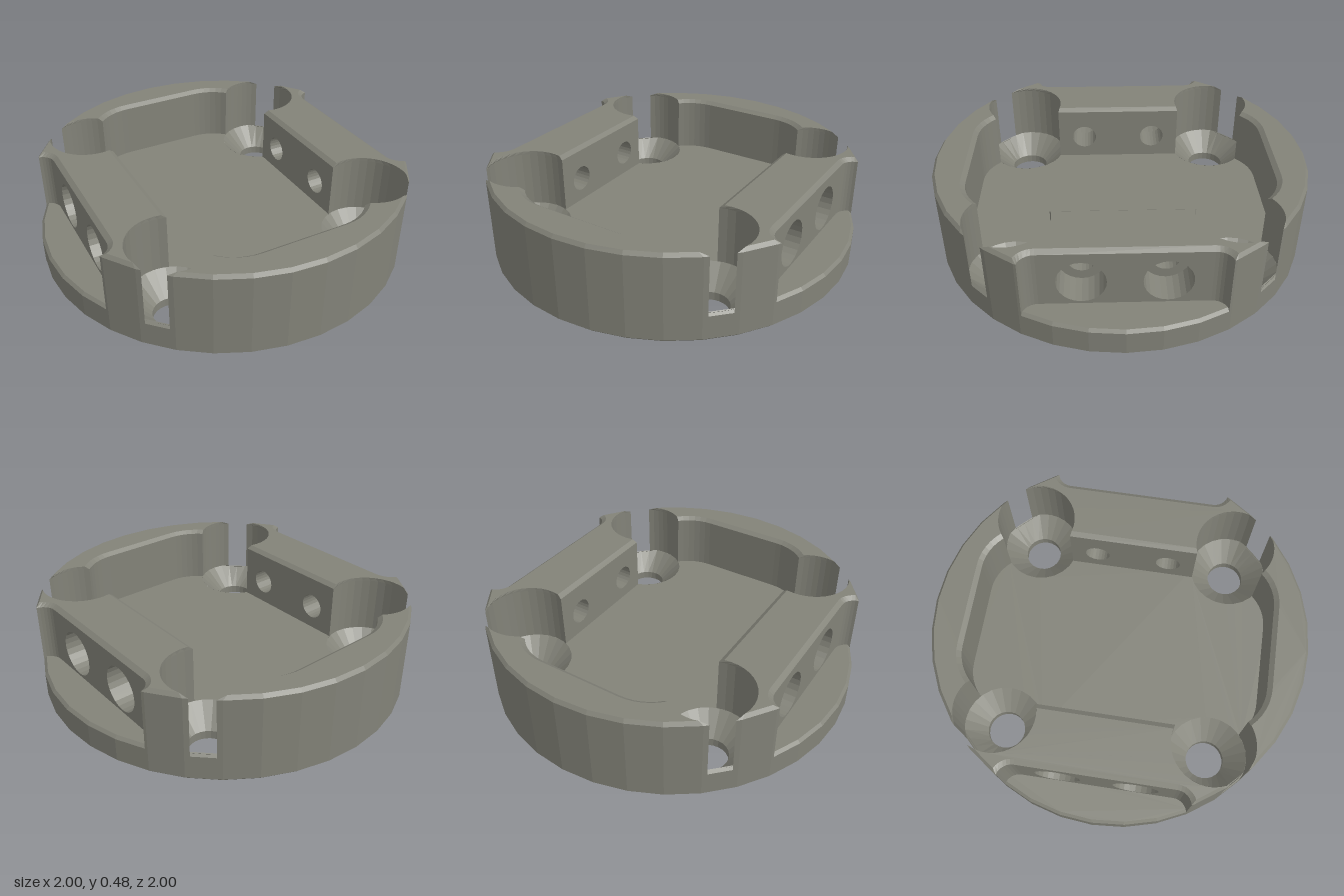
import * as THREE from 'three';

const mat = new THREE.MeshStandardMaterial({ color: 0x828278, flatShading: true, side: THREE.DoubleSide });
const FLOOR = 0.155, TOP = 0.476, START = 0.14;
const CH = 0.025, CH_Y = 0.018; // chamfer width and height
const BORE = [0.56, 0.56], BORE_R = 0.215, HOLE_R = 0.103, SCREW_Y = 0.287;
const O = [0, 0], DEG = Math.PI / 180;

// One of the two points where two circles meet.
function meet(c1, r1, c2, r2, sign) {
  const dx = c2[0] - c1[0], dz = c2[1] - c1[1], d = Math.hypot(dx, dz);
  const a = (d * d + r1 * r1 - r2 * r2) / (2 * d);
  const h = sign * Math.sqrt(r1 * r1 - a * a);
  return [c1[0] + (a * dx - h * dz) / d, c1[1] + (a * dz + h * dx) / d];
}

// Points on a circle from p to q, the short way round (or the long way).
function arc(c, r, p, q, n, long = false) {
  const a0 = Math.atan2(p[1] - c[1], p[0] - c[0]);
  let da = Math.atan2(q[1] - c[1], q[0] - c[0]) - a0;
  if (da > Math.PI) da -= 2 * Math.PI;
  if (da < -Math.PI) da += 2 * Math.PI;
  if (long) da -= Math.sign(da) * 2 * Math.PI;
  return Array.from({ length: n + 1 }, (_, i) => {
    const a = a0 + (da * i) / n;
    return [c[0] + r * Math.cos(a), c[1] + r * Math.sin(a)];
  });
}

// Part of the 36-sided rim from p to q, with its corners at from..to degrees between them.
function rimArc(R, p, q, from, to) {
  const a0 = Math.atan2(p[1], p[0]) / DEG, a1 = Math.atan2(q[1], q[0]) / DEG;
  const angles = [a0];
  for (let a = from; a <= to; a += 10) angles.push(Math.min(Math.max(a, a0), a1));
  angles.push(a1);
  return angles.map((a) => {
    const r = R * Math.cos(5 * DEG) / Math.cos(((a % 10) - 5) * DEG);
    return [r * Math.cos(a * DEG), r * Math.sin(a * DEG)];
  });
}

// Stack (x, z) outlines at given heights, cap the top; skip lists open side faces of the first layer.
function loft(layers, skip = []) {
  const pos = [];
  const n = layers[0].pts.length;
  const v = (l, i) => pos.push(layers[l].pts[i % n][0], layers[l].y, layers[l].pts[i % n][1]);
  for (let l = 0; l < layers.length - 1; l++) {
    for (let i = 0; i < n; i++) {
      if (l === 0 && skip.includes(i)) continue;
      v(l, i); v(l + 1, i); v(l, i + 1);
      v(l, i + 1); v(l + 1, i); v(l + 1, i + 1);
    }
  }
  const last = layers.length - 1;
  const flat = layers[last].pts.map((p) => new THREE.Vector2(...p));
  for (const [a, b, c] of THREE.ShapeUtils.triangulateShape(flat, [])) {
    v(last, a); v(last, c); v(last, b);
  }
  const g = new THREE.BufferGeometry();
  g.setAttribute('position', new THREE.Float32BufferAttribute(pos, 3));
  g.computeVertexNormals();
  return g;
}

// Curved end wall: pocket side, bore bite, outer rim; c is the chamfer inset.
function endWall(c) {
  const corner = [0.23, 0.545], r = 0.258 + c, R = 1 - 0.6 * c;
  const m = meet(corner, r, BORE, BORE_R, 1);
  const p = meet(O, R, BORE, BORE_R, 1);
  const half = [
    ...arc(corner, r, [0.23, 0.545 + r], m, 6),
    ...arc(BORE, BORE_R, m, p, 8).slice(1, -1),
    ...rimArc(R, p, [0, R], 50, 80),
  ];
  const mirrored = half.slice(0, -1).reverse().map(([x, z]) => [-x, z]);
  return [...half, ...mirrored];
}

// Side bar: recess face, rounded recess corner, outer rim, bore bite, pocket face.
function sideBar(c) {
  const fillet = [0.89, 0.41], r = 0.08 + c, R = 1 - 0.6 * c, inner = 0.488 + c;
  const e = meet(fillet, r, O, R, -1);
  const p = meet(O, R, BORE, BORE_R, -1);
  const q = [inner, BORE[1] - Math.sqrt(BORE_R ** 2 - (BORE[0] - inner) ** 2)];
  const half = [
    ...arc(fillet, r, [0.89 - r, 0.41], e, 6).slice(0, -1),
    ...rimArc(R, e, p, 30, 40),
    ...arc(BORE, BORE_R, p, q, 12).slice(1),
  ];
  return [...half.map(([x, z]) => [x, -z]).reverse(), ...half];
}

const wallLayers = (outline) => [
  { y: START, pts: outline(0) },
  { y: TOP - CH_Y, pts: outline(0) },
  { y: TOP, pts: outline(CH) },
];

function add(parent, name, geometry) {
  const m = new THREE.Mesh(geometry, mat);
  m.name = name;
  parent.add(m);
  return m;
}

// Regular polygon points, used for round outlines and holes.
const ring = (x, y, r, n) => Array.from({ length: n }, (_, i) => {
  const a = (i / n) * 2 * Math.PI;
  return new THREE.Vector2(x + r * Math.cos(a), y + r * Math.sin(a));
});

const lathe = (pts, n) => new THREE.LatheGeometry(pts.map((p) => new THREE.Vector2(...p)), n);

// Upright bar face at x with two round screw holes.
function drilledFace(x, halfZ, r) {
  const s = new THREE.Shape([[-halfZ, START], [halfZ, START], [halfZ, TOP - CH_Y], [-halfZ, TOP - CH_Y]]
    .map((p) => new THREE.Vector2(...p)));
  for (const z of [-0.205, 0.205]) s.holes.push(new THREE.Path(ring(z, SCREW_Y, r, 24)));
  return new THREE.ShapeGeometry(s).rotateY(-Math.PI / 2).translate(x, 0, 0);
}

export function createModel() {
  const model = new THREE.Group();
  model.name = 'roundMount';

  // Base plate: rim, underside and floor
  const base = new THREE.Group();
  base.name = 'basePlate';
  model.add(base);
  add(base, 'baseRim', lathe([[0.985, 0], [1, 0.015], [1, START], [0.985, FLOOR]], 36));

  const R = 0.985;
  const under = new THREE.Shape(ring(0, 0, R, 36));
  const floor = [];
  const p = meet(O, R, BORE, BORE_R, -1), q = meet(O, R, BORE, BORE_R, 1);
  const bite = [
    ...arc(BORE, BORE_R, p, q, 24, true).slice(0, -1),
    ...rimArc(R, q, [-p[1], p[0]], 60, 120).slice(0, -1),
  ];
  for (let k = 0; k < 4; k++) {
    const c = Math.round(Math.cos(k * Math.PI / 2)), s = Math.round(Math.sin(k * Math.PI / 2));
    for (const [x, z] of bite) floor.push([x * c - z * s, x * s + z * c]);
    const hx = BORE[0] * c - BORE[1] * s, hz = BORE[0] * s + BORE[1] * c;
    under.holes.push(new THREE.Path(ring(hx, hz, HOLE_R, 24)));

    // Countersunk mounting hole, trimmed to the rim
    const g = lathe([[HOLE_R, 0], [HOLE_R, 0.045], [BORE_R, FLOOR]], 24).translate(hx, 0, hz);
    const pos = g.attributes.position;
    for (let i = 0; i < pos.count; i++) {
      const f = Math.min(1, 0.99 / Math.hypot(pos.getX(i), pos.getZ(i)));
      pos.setX(i, pos.getX(i) * f);
      pos.setZ(i, pos.getZ(i) * f);
    }
    add(base, 'countersunkHole', g);
  }
  add(base, 'underside', new THREE.ShapeGeometry(under).rotateX(Math.PI / 2));
  add(base, 'floor', loft([{ y: FLOOR, pts: floor }]));

  // Front and back walls, left and right bars
  for (const turn of [0, Math.PI]) {
    add(model, turn ? 'backWall' : 'frontWall', loft(wallLayers(endWall))).rotation.y = turn;

    const bar = new THREE.Group();
    bar.name = turn ? 'rightBar' : 'leftBar';
    bar.rotation.y = turn;
    model.add(bar);
    const outline = sideBar(0), n = outline.length;
    add(bar, 'barBody', loft(wallLayers(sideBar), [n / 2 - 1, n - 1]));
    add(bar, 'recessFace', drilledFace(0.81, 0.41, 0.12));
    add(bar, 'pocketFace', drilledFace(0.488, outline[n - 1][1], 0.07));
    for (const z of [-0.205, 0.205]) {
      // Counterbored screw hole through the bar
      add(bar, 'screwHole', lathe([[0.07, 0.488], [0.07, 0.65], [0.12, 0.65], [0.12, 0.81]], 24)
        .rotateZ(-Math.PI / 2).translate(0, SCREW_Y, z));
    }
  }
  return model;
}
